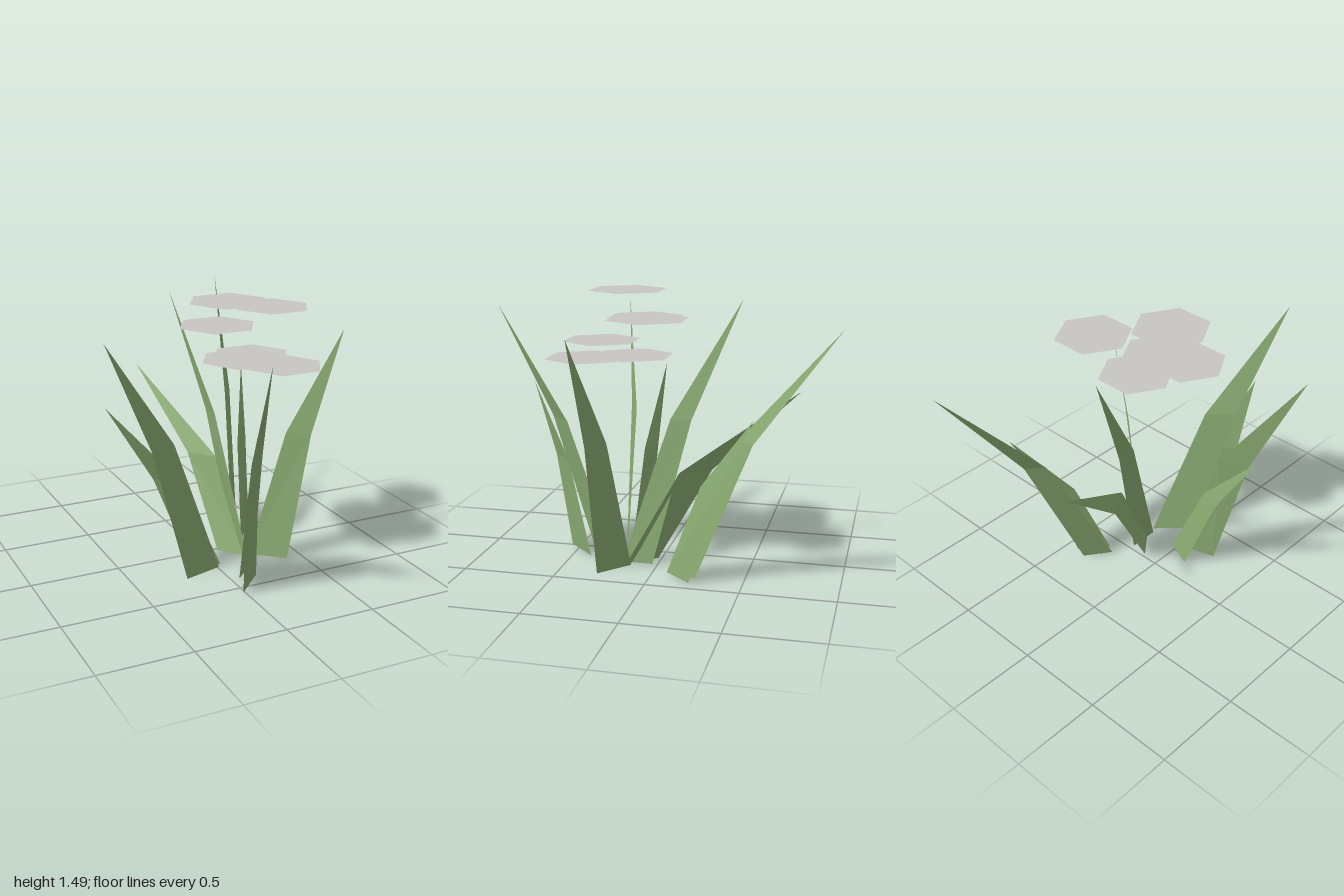
import * as THREE from 'three';

const leafGreen = new THREE.MeshStandardMaterial({ name: 'leafGreen', color: 0x8aab72, side: THREE.DoubleSide });
const paleGrey = new THREE.MeshStandardMaterial({ name: 'paleGrey', color: 0xc8c6c2, side: THREE.DoubleSide });

// Flat blade: a base edge, a fold edge and a pointed tip (each point x, y, z)
function blade(baseA, baseB, foldA, foldB, tip) {
  const geo = new THREE.BufferGeometry();
  const corners = [baseA, baseB, foldB, baseA, foldB, foldA, foldA, foldB, tip];
  geo.setAttribute('position', new THREE.Float32BufferAttribute(corners.flat(), 3));
  geo.computeVertexNormals();
  return new THREE.Mesh(geo, leafGreen);
}

// Each tuft holds a tall blade and, mostly, a short one beside it
const tufts = {
  leftTuft: [
    [[0.24, 0, 0.14], [0.405, 0, 0.285], [0.415, 0.725, 0.22], [0.525, 0.725, 0.305], [0.685, 1.31, 0.345]],
  ],
  rightTuft: [
    [[-0.21, 0, 0.283], [0.01, 0, 0.22], [-0.415, 0.76, 0.305], [-0.26, 0.76, 0.235], [-0.69, 1.38, 0.385]],
    [[-0.12, 0, 0.13], [0.035, 0, 0.19], [-0.335, 0.54, 0.125], [-0.21, 0.54, 0.175], [-0.6, 0.975, 0.135]],
  ],
  frontTuft: [
    [[0.045, 0, 0.4], [0.225, 0, 0.225], [-0.03, 0.75, 0.66], [0.1, 0.75, 0.535], [-0.11, 1.355, 1]],
    [[-0.01, 0, 0.555], [0.15, 0, 0.395], [-0.055, 0.52, 0.655], [0.075, 0.52, 0.54], [-0.065, 0.94, 0.78]],
  ],
  backTuft: [
    [[0.2, 0, 0.2], [0.2, 0, 0.03], [0.112, 0.8, -0.05], [0.11, 0.8, -0.165], [0, 1.443, -0.42]],
    [[0.22, 0, 0.17], [0.1, 0, 0.02], [0.155, 0.515, -0.11], [0.045, 0.515, -0.27], [-0.08, 0.945, -0.73]],
  ],
  backLeftTuft: [
    [[0.255, 0, -0.1], [0.355, 0, -0.24], [0.38, 0.77, -0.46], [0.455, 0.77, -0.55], [0.565, 1.385, -0.99]],
    [[0.3, 0, -0.075], [0.425, 0, -0.22], [0.37, 0.515, -0.27], [0.475, 0.515, -0.37], [0.54, 0.92, -0.565]],
  ],
};

// Centres of the floating flower discs
const discCentres = [
  [0.05, 1.34, 0.1], [0.065, 1.485, 0.195], [0.07, 1.21, 0.34],
  [0.44, 1.385, -0.01], [0.31, 1.155, 0.36], [0.245, 1.165, 0.115],
];

export function createModel() {
  const model = new THREE.Group();
  model.name = 'grassPlant';

  for (const [name, blades] of Object.entries(tufts)) {
    const tuft = new THREE.Group();
    tuft.name = name;
    blades.forEach((points, i) => {
      const mesh = blade(...points);
      mesh.name = i === 0 ? 'tallBlade' : 'shortBlade';
      tuft.add(mesh);
    });
    model.add(tuft);
  }

  // Six-sided discs lying level, facing up
  const discGeo = new THREE.CircleGeometry(0.217, 6).rotateX(-Math.PI / 2);
  const flowers = new THREE.Group();
  flowers.name = 'flowers';
  for (const centre of discCentres) {
    const disc = new THREE.Mesh(discGeo, paleGrey);
    disc.name = 'flowerDisc';
    disc.position.set(...centre);
    flowers.add(disc);
  }
  model.add(flowers);
  return model;
}
